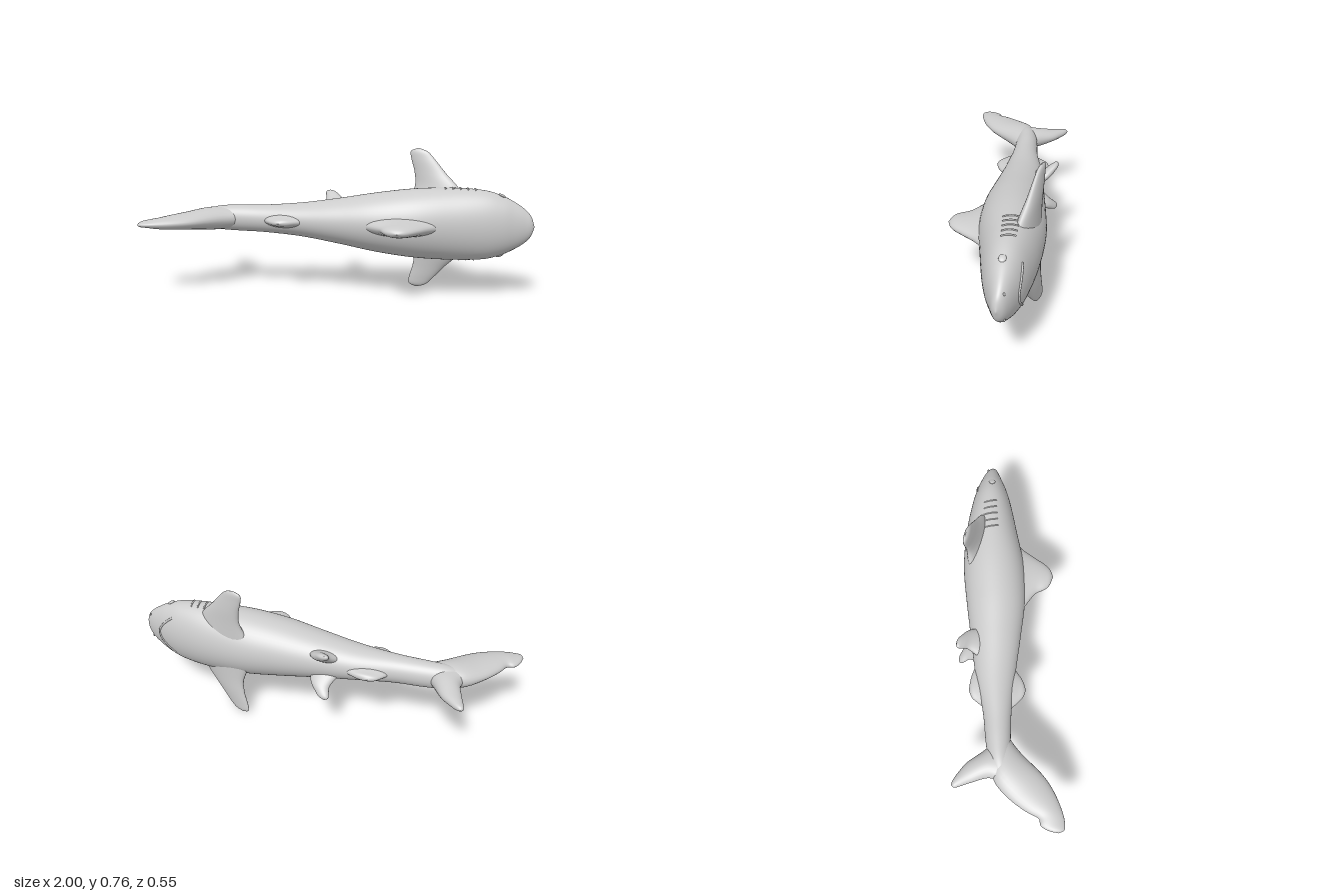
import * as THREE from 'three';
import { mergeVertices } from 'three/addons/utils/BufferGeometryUtils.js';

const V = (x, y, z) => new THREE.Vector3(x, y, z);
const MID_Y = 0.378; // height of the body's plane of symmetry
const material = new THREE.MeshStandardMaterial({ color: 0xcccccc, roughness: 0.7 });

// Smooth curves through the centres and the two half-axes of elliptical sections
function makeCurves(sections) {
  return ['c', 'u', 'v'].map(k =>
    new THREE.CatmullRomCurve3(sections.map(s => s[k]), false, 'catmullrom', 0.5));
}

function ringPoint([c, u, v], t, angle) {
  return c.getPoint(t)
    .addScaledVector(u.getPoint(t), Math.cos(angle))
    .addScaledVector(v.getPoint(t), Math.sin(angle));
}

// Closed smooth skin over the sections
function loft(curves, rings, sides) {
  const pos = [], index = [];
  const [c, u, v] = curves;
  const axis = c.getPoint(0.6).sub(c.getPoint(0.4));
  const flip = u.getPoint(0.5).cross(v.getPoint(0.5)).dot(axis) < 0;
  for (let i = 0; i <= rings; i++) {
    for (let j = 0; j < sides; j++) {
      pos.push(...ringPoint(curves, i / rings, (j / sides) * Math.PI * 2).toArray());
      if (i === rings) continue;
      const k = (j + 1) % sides;
      const a = i * sides + j, b = i * sides + k, d = a + sides, e = b + sides;
      if (flip) index.push(a, d, b, b, d, e);
      else index.push(a, b, d, b, e, d);
    }
  }
  let g = new THREE.BufferGeometry();
  g.setAttribute('position', new THREE.Float32BufferAttribute(pos, 3));
  g.setIndex(index);
  g = mergeVertices(g, 1e-5);
  g.computeVertexNormals();
  return g;
}

function addMesh(parent, name, geometry) {
  const m = new THREE.Mesh(geometry, material);
  m.name = name;
  parent.add(m);
  return m;
}

// Fin from rows of [lead point, trail point, half thickness]
function addFin(parent, name, rows, normal) {
  const sections = rows.map(([lead, trail, th]) => ({
    c: lead.clone().add(trail).multiplyScalar(0.5),
    u: lead.clone().sub(trail).multiplyScalar(0.5),
    v: normal.clone().multiplyScalar(th),
  }));
  return addMesh(parent, name, loft(makeCurves(sections), 32, 28));
}

// Fin in the plane of symmetry: rows of lead x, z, trail x, z, half thickness
function addMedianFin(parent, name, rows) {
  addFin(parent, name, rows.map(([lx, lz, tx, tz, th]) => [V(lx, 0, lz), V(tx, 0, tz), th]), V(0, 1, 0));
}

// Pair of fins: rows of lead x, y, z, trail x, y, z, half thickness
function addPairedFins(parent, name, rows, n) {
  for (const s of [1, -1]) {
    addFin(parent, (s > 0 ? 'upper' : 'lower') + name,
      rows.map(([a, b, c, d, e, f, th]) => [V(a, s * b, c), V(d, s * e, f), th]), V(n[0], s * n[1], n[2]));
  }
}

export function createModel() {
  const group = new THREE.Group();
  group.name = 'shark';
  const shark = new THREE.Group();
  shark.name = 'sharkOnItsSide';
  shark.position.y = MID_Y;
  group.add(shark);

  // Body: x, belly z, back z, half width
  const body = makeCurves([
    [-0.78, -0.025, -0.025, 0], [-0.74, -0.06, 0.01, 0.035], [-0.66, -0.09, 0.02, 0.062],
    [-0.55, -0.105, 0.02, 0.07], [-0.4, -0.118, 0.027, 0.074], [-0.2, -0.155, 0.052, 0.09],
    [0, -0.178, 0.083, 0.12], [0.2, -0.2, 0.11, 0.155], [0.4, -0.215, 0.108, 0.18],
    [0.6, -0.2, 0.075, 0.187], [0.75, -0.172, 0.048, 0.178], [0.84, -0.147, 0.026, 0.152],
    [0.9, -0.123, 0.005, 0.122], [0.95, -0.099, -0.013, 0.088], [0.982, -0.076, -0.026, 0.052],
    [1, -0.045, -0.045, 0],
  ].map(([x, lo, hi, w]) => ({
    c: V(x, 0, (lo + hi) / 2), u: V(0, w, 0), v: V(0, 0, (hi - lo) / 2),
  })));
  addMesh(shark, 'body', loft(body, 110, 56));

  // Point on the body's skin at a given x and angle (0 = side, -PI/2 = belly)
  const skin = (x, angle) => {
    let lo = 0, hi = 1;
    for (let i = 0; i < 24; i++) {
      const t = (lo + hi) / 2;
      if (body[0].getPoint(t).x < x) lo = t; else hi = t;
    }
    return ringPoint(body, lo, angle);
  };
  const addCrease = (name, points, r) =>
    addMesh(shark, name, new THREE.TubeGeometry(new THREE.CatmullRomCurve3(points), 24, r, 6));

  // Back, belly and tail fins
  addMedianFin(shark, 'dorsalFin', [
    [0.56, 0.05, 0.1, 0.06, 0.06], [0.49, 0.115, 0.18, 0.12, 0.044], [0.44, 0.18, 0.235, 0.165, 0.035],
    [0.405, 0.225, 0.26, 0.215, 0.027], [0.375, 0.25, 0.285, 0.243, 0.018], [0.335, 0.265, 0.335, 0.265, 0],
  ]);
  addMedianFin(shark, 'secondDorsalFin', [
    [-0.14, 0.02, -0.4, 0.01, 0.04], [-0.2, 0.06, -0.365, 0.055, 0.025],
    [-0.245, 0.087, -0.33, 0.087, 0.016], [-0.295, 0.102, -0.295, 0.102, 0],
  ]);
  addMedianFin(shark, 'analFin', [
    [-0.1, -0.12, -0.4, -0.09, 0.04], [-0.18, -0.16, -0.36, -0.14, 0.025],
    [-0.23, -0.178, -0.33, -0.172, 0.017], [-0.29, -0.188, -0.29, -0.188, 0],
  ]);
  addMedianFin(shark, 'tailUpperLobe', [
    [-0.52, 0, -0.66, -0.09, 0.055], [-0.61, 0.065, -0.76, -0.06, 0.06], [-0.72, 0.17, -0.84, 0.01, 0.045],
    [-0.8, 0.222, -0.9, 0.09, 0.036], [-0.88, 0.255, -0.93, 0.145, 0.028], [-0.94, 0.27, -0.965, 0.155, 0.02],
    [-0.985, 0.268, -0.99, 0.195, 0.013], [-1, 0.24, -1, 0.24, 0],
  ]);
  addMedianFin(shark, 'tailLowerLobe', [
    [-0.55, -0.05, -0.76, -0.02, 0.055], [-0.605, -0.12, -0.735, -0.09, 0.05], [-0.655, -0.195, -0.755, -0.175, 0.032],
    [-0.705, -0.24, -0.772, -0.23, 0.022], [-0.74, -0.265, -0.778, -0.26, 0.014], [-0.765, -0.275, -0.765, -0.275, 0],
  ]);

  // Paired fins
  addPairedFins(shark, 'PectoralFin', [
    [0.66, 0.08, -0.09, 0.35, 0.08, -0.17, 0.05], [0.62, 0.175, -0.105, 0.385, 0.175, -0.18, 0.035],
    [0.55, 0.25, -0.135, 0.382, 0.25, -0.187, 0.026], [0.49, 0.32, -0.158, 0.363, 0.32, -0.194, 0.018],
    [0.45, 0.36, -0.172, 0.36, 0.36, -0.197, 0.012], [0.4, 0.378, -0.188, 0.4, 0.378, -0.188, 0],
  ], [-0.28, 0, 0.96]);
  addPairedFins(shark, 'PelvicFin', [
    [0.03, 0.05, -0.12, -0.13, 0.05, -0.13, 0.035], [0.005, 0.085, -0.18, -0.098, 0.085, -0.187, 0.025],
    [-0.03, 0.112, -0.215, -0.104, 0.112, -0.222, 0.019], [-0.055, 0.127, -0.234, -0.104, 0.127, -0.238, 0.012],
    [-0.085, 0.135, -0.243, -0.085, 0.135, -0.243, 0],
  ], [0, 0.6, 0.8]);

  // Eyes, nostrils and gill slits on both sides of the head
  for (const s of [1, -1]) {
    const side = a => (s > 0 ? a : Math.PI - a);
    const eye = addMesh(shark, 'eye', new THREE.SphereGeometry(0.02, 20, 14));
    eye.position.copy(skin(0.835, side(0.06)));
    eye.scale.set(1, 0.35, 0.85);
    eye.rotation.z = -s * 0.45;
    const nostril = addMesh(shark, 'nostril', new THREE.SphereGeometry(0.01, 12, 8));
    nostril.position.copy(skin(0.96, side(-0.6)));
    nostril.scale.set(0.5, 1, 0.5);
    for (let i = 0; i < 5; i++) {
      const x = 0.55 + i * 0.038;
      addCrease('gillSlit', [-0.3, -0.1, 0.1, 0.25].map(a => skin(x + 0.02 * a, side(a))), 0.0045);
    }
  }

  // Mouth: a shallow arc under the snout
  const lip = [];
  for (let i = -6; i <= 6; i++) lip.push(skin(0.885 - 0.09 * (i / 6) ** 2, -Math.PI / 2 + i * 0.12));
  addCrease('mouth', lip, 0.006);

  return group;
}
